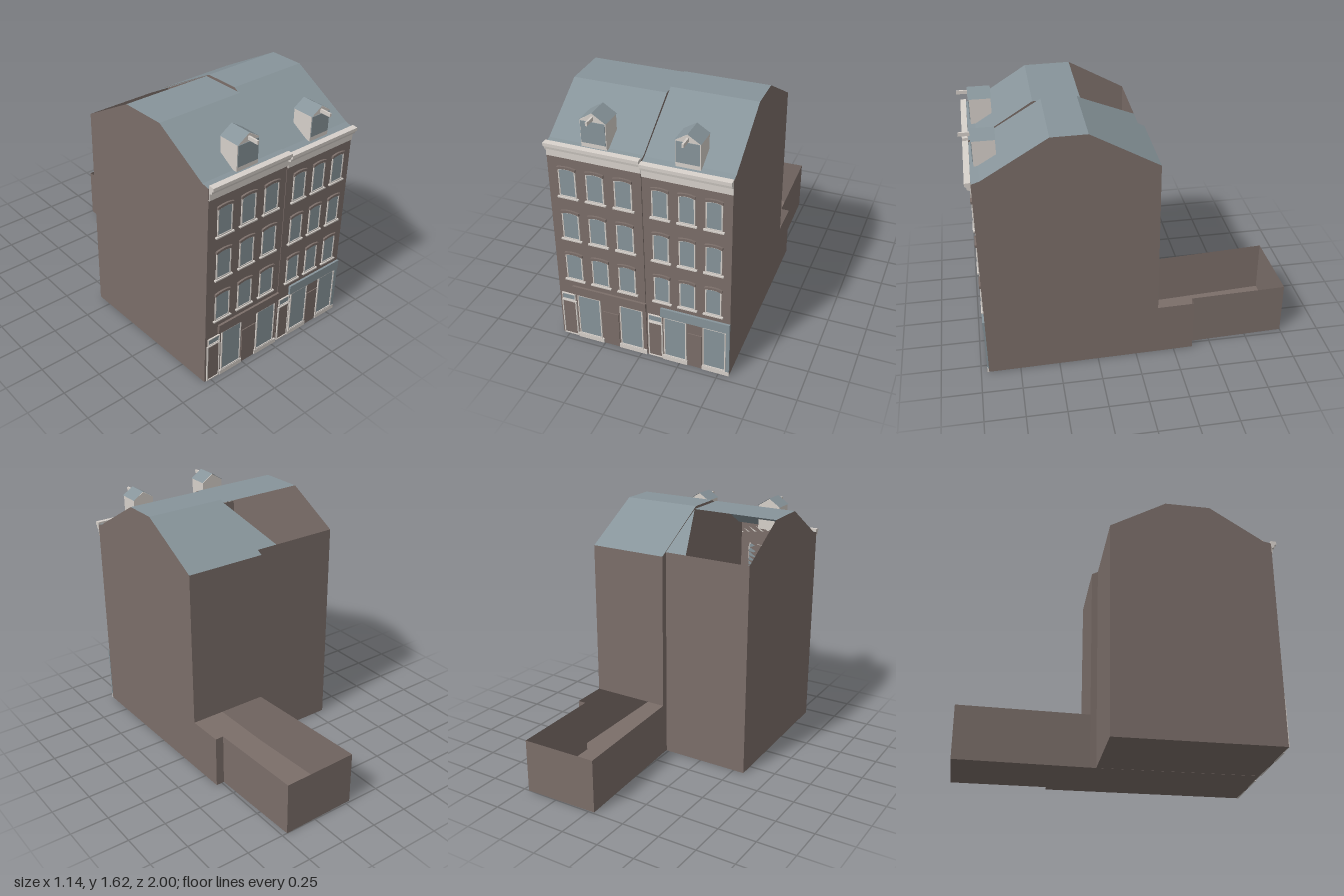
import * as THREE from 'three';

const mat = (name, color) => {
  const m = new THREE.MeshStandardMaterial({ color, side: THREE.DoubleSide });
  m.name = name;
  return m;
};

export function createModel() {
  const root = new THREE.Group();
  root.name = 'townhouses';
  const brick = mat('brick', 0x7b6e69);
  const slate = mat('slate', 0x87949a);
  const trim = mat('trim', 0xd6d0ca);

  const add = (parent, name, geo, material) => {
    const mesh = new THREE.Mesh(geo, material);
    mesh.name = name;
    parent.add(mesh);
    return mesh;
  };
  const group = (parent, name) => {
    const g = new THREE.Group();
    g.name = name;
    parent.add(g);
    return g;
  };
  // flat convex polygon from 3D corners
  const face = (parent, name, pts, material) => {
    const pos = [];
    for (let i = 1; i < pts.length - 1; i++) pos.push(...pts[0], ...pts[i], ...pts[i + 1]);
    const geo = new THREE.BufferGeometry();
    geo.setAttribute('position', new THREE.Float32BufferAttribute(pos, 3));
    geo.computeVertexNormals();
    return add(parent, name, geo, material);
  };
  const box = (parent, name, x0, x1, y0, y1, z0, z1, material) => {
    const geo = new THREE.BoxGeometry(x1 - x0, y1 - y0, z1 - z0);
    geo.translate((x0 + x1) / 2, (y0 + y1) / 2, (z0 + z1) / 2);
    return add(parent, name, geo, material);
  };
  const extrude = (shape, depth, z) =>
    new THREE.ExtrudeGeometry(shape, { depth, bevelEnabled: false, curveSegments: 5 }).translate(0, 0, z);
  const poly = (pts) => new THREE.Shape(pts.map(([x, y]) => new THREE.Vector2(x, y)));

  const F = 0.95; // facade plane

  // closed outline with a gently arched head
  const arched = (x0, x1, y0, y1, rise) => {
    const s = new THREE.Shape();
    s.moveTo(x0, y0);
    s.lineTo(x1, y0);
    s.lineTo(x1, y1 - rise);
    s.quadraticCurveTo((x0 + x1) / 2, y1 + rise, x0, y1 - rise);
    s.closePath();
    return s;
  };

  const sashWindow = (parent, cx, w, y0, y1) => {
    const g = group(parent, 'sashWindow');
    const x0 = cx - w / 2, x1 = cx + w / 2;
    const frame = arched(x0, x1, y0, y1 - 0.012, 0.008);
    frame.holes.push(arched(x0 + 0.007, x1 - 0.007, y0 + 0.008, y1 - 0.02, 0.008));
    add(g, 'windowFrame', extrude(frame, 0.007, F), trim);
    add(g, 'windowGlass', extrude(arched(x0 + 0.003, x1 - 0.003, y0 + 0.003, y1 - 0.016, 0.008), 0.003, F), slate);
    // brick arch over the opening
    const lintel = new THREE.Shape();
    lintel.moveTo(x0 - 0.004, y1 - 0.025);
    lintel.quadraticCurveTo(cx, y1 - 0.005, x1 + 0.004, y1 - 0.025);
    lintel.lineTo(x1 + 0.004, y1 - 0.008);
    lintel.quadraticCurveTo(cx, y1 + 0.008, x0 - 0.004, y1 - 0.008);
    lintel.closePath();
    add(g, 'windowArch', extrude(lintel, 0.012, F), brick);
    box(g, 'windowSill', x0 - 0.012, x1 + 0.012, y0 - 0.009, y0, F, F + 0.014, trim);
  };

  // framed panel used for shop windows, doors and transoms
  const framed = (parent, name, x0, x1, y0, y1, panel, t = 0.007) => {
    const g = group(parent, name);
    const s = poly([[x0, y0], [x1, y0], [x1, y1], [x0, y1]]);
    s.holes.push(poly([[x0 + t, y0 + t], [x0 + t, y1 - t], [x1 - t, y1 - t], [x1 - t, y0 + t]]));
    add(g, name + 'Frame', extrude(s, 0.009, F), trim);
    box(g, name + 'Panel', x0 + t / 2, x1 - t / 2, y0 + t / 2, y1 - t / 2, F, F + 0.004, panel);
  };

  const dormer = (parent, cx, w, y0, eave, peak) => {
    const g = group(parent, 'dormer');
    const h = w / 2, z0 = 0.793, z1 = 0.927;
    add(g, 'dormerBody', extrude(poly([[cx - h, y0 - 0.025], [cx + h, y0 - 0.025], [cx + h, eave],
      [cx, peak - 0.003], [cx - h, eave]]), z1 - z0, z0), trim);
    for (const s of [-1, 1]) {
      const e = cx + s * (h + 0.004);
      face(g, 'dormerRoof', [[cx, peak, z0 - 0.002], [cx, peak, z1 + 0.006],
        [e, eave, z1 + 0.006], [e, eave, z0 - 0.002]], slate);
    }
    box(g, 'dormerWindow', cx - h + 0.004, cx + h - 0.004, y0 + 0.003, eave - 0.004, z1, z1 + 0.004, slate);
    box(g, 'hoistBeam', cx - 0.006, cx + 0.006, peak - 0.044, peak - 0.022, z1, 1, trim);
  };

  // shell of one house: profile runs [z, y] from the front eave to the back eave
  const shell = (parent, xl, xr, back, profile, backBase) => {
    const end = profile.length - 1;
    const at = (side, z) => {
      const t = (F - z) / (F - back);
      return side[0] + (side[1] - side[0]) * t;
    };
    const p = (side, [z, y]) => [at(side, z), y, z];
    const outline = [[F, 0], ...profile, [back, 0]];
    face(parent, 'sideWallRight', outline.map((q) => p(xl, q)), brick);
    face(parent, 'sideWallLeft', outline.map((q) => p(xr, q)).reverse(), brick);
    const quad = (name, a, b, m) => face(parent, name, [p(xl, a), p(xr, a), p(xr, b), p(xl, b)], m);
    quad('frontWall', [F, 0], profile[0], brick);
    quad('backWall', profile[end], [back, backBase], brick);
    quad('floor', [back, 0], [F, 0], brick);
    for (let i = 0; i < end - 1; i++) quad('roof', profile[i], profile[i + 1], slate);
    return { last: [profile[end - 1], profile[end]], p, quad };
  };

  const cornice = (parent, x0, x1, y) => {
    const s = poly([[0, 0], [0.006, 0], [0.006, 0.043], [0.022, 0.05], [0.025, 0.066],
      [0.036, 0.072], [0.036, 0.092], [0, 0.095]]);
    const geo = new THREE.ExtrudeGeometry(s, { depth: x1 - x0, bevelEnabled: false });
    geo.rotateY(-Math.PI / 2).translate(x1, y, 0);
    // turn the profile so it projects forwards
    geo.scale(1, 1, 1);
    add(parent, 'cornice', geo, trim).position.z = F;
  };

  // ---- house on the right-hand (-x) side, with a partly open back roof
  const a = group(root, 'westHouse');
  const aXl = [-0.545, -0.573], aXr = [0.033, 0.016];
  const A = shell(a, aXl, aXr, -0.1,
    [[F, 1.375], [0.9, 1.385], [0.55, 1.6], [0.26, 1.6], [-0.1, 1.395]], 0);
  face(a, 'backRoofRemnant', [A.p(aXr, A.last[0]), A.p(aXr, A.last[1]), [-0.13, 1.395, -0.1]], slate);
  cornice(a, -0.543, 0.036, 1.3);
  dormer(a, -0.253, 0.155, 1.41, 1.55, 1.603);
  for (const y of [0.447, 0.747, 1.042])
    for (const x of [-0.425, -0.252, -0.078]) sashWindow(a, x, 0.108, y, y + 0.203);
  framed(a, 'houseDoor', -0.532, -0.435, 0.004, 0.272, brick);
  framed(a, 'transom', -0.528, -0.438, 0.278, 0.325, slate, 0.005);
  framed(a, 'shopWindow', -0.422, -0.268, 0.03, 0.334, slate);
  framed(a, 'shopWindow', -0.138, 0.012, 0.03, 0.334, slate);
  box(a, 'shopDoor', -0.255, -0.15, 0, 0.25, F, F + 0.006, brick);
  box(a, 'shopFascia', -0.45, 0.036, 0.336, 0.396, F, F + 0.014, brick);
  for (const [x0, x1] of [[-0.432, -0.257], [-0.148, 0.034]])
    box(a, 'plinth', x0, x1, 0, 0.03, F, F + 0.011, trim);

  // ---- house on the left-hand (+x) side
  const b = group(root, 'eastHouse');
  const bXl = [0.037, 0.017], bXr = [0.565, 0.545];
  const B = shell(b, bXl, bXr, -0.14,
    [[F, 1.365], [0.9, 1.38], [0.5, 1.615], [0.28, 1.615], [-0.14, 1.375]], 0.35);
  B.quad('roof', B.last[0], B.last[1], slate);
  cornice(b, 0.038, 0.567, 1.283);
  dormer(b, 0.3, 0.145, 1.4, 1.535, 1.583);
  for (const y of [0.44, 0.737, 1.033])
    for (const x of [0.143, 0.302, 0.461]) sashWindow(b, x, 0.098, y, y + 0.2);
  framed(b, 'houseDoor', 0.047, 0.14, 0.004, 0.268, brick);
  framed(b, 'transom', 0.05, 0.138, 0.276, 0.325, slate, 0.005);
  framed(b, 'shopWindow', 0.15, 0.294, 0.03, 0.33, slate);
  framed(b, 'shopWindow', 0.398, 0.542, 0.03, 0.33, slate);
  box(b, 'shopDoor', 0.3, 0.392, 0, 0.25, F, F + 0.006, brick);
  box(b, 'shopFascia', 0.132, 0.566, 0.332, 0.395, F, F + 0.014, slate);
  box(b, 'cornerPilaster', 0.544, 0.566, 0.03, 0.332, F, F + 0.01, slate);
  for (const [x0, x1] of [[0.142, 0.298], [0.394, 0.566]])
    box(b, 'plinth', x0, x1, 0, 0.03, F, F + 0.011, trim);

  // ---- roofless rear extension
  const ext = group(root, 'rearExtension');
  const plan = [[0.017, -0.14], [-0.035, -0.99], [0.465, -1], [0.485, -0.375], [0.54, -0.375], [0.545, -0.14]];
  for (let i = 0; i < plan.length - 1; i++) {
    const [x0, z0] = plan[i], [x1, z1] = plan[i + 1];
    face(ext, 'extensionWall', [[x0, 0, z0], [x0, 0.35, z0], [x1, 0.35, z1], [x1, 0, z1]], brick);
  }
  const floor = (ids) => face(ext, 'extensionFloor', ids.map((i) => [plan[i][0], 0, plan[i][1]]), brick);
  floor([0, 1, 2, 3]);
  floor([0, 3, 4, 5]);

  return root;
}
